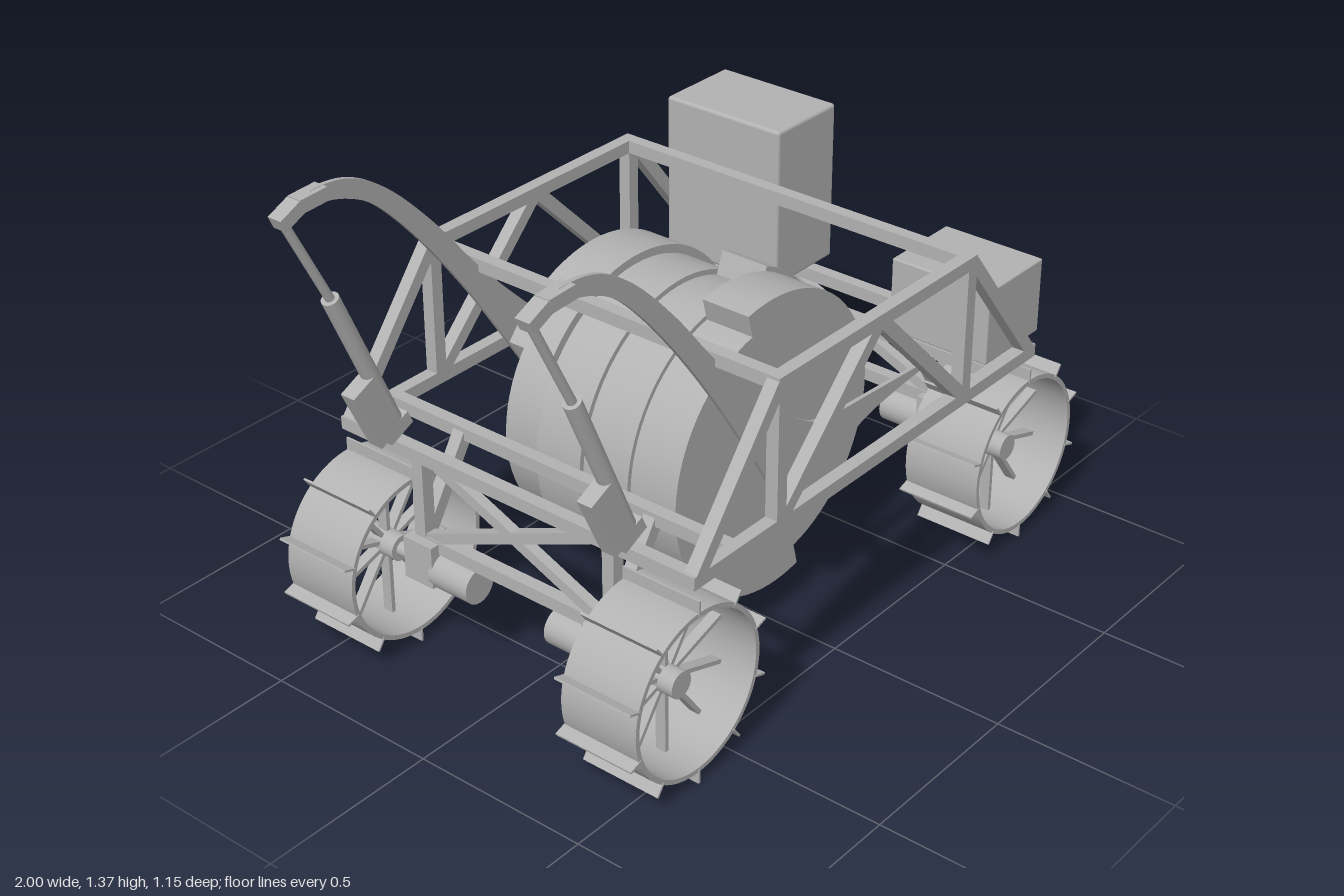
import * as THREE from 'three';
import { toCreasedNormals } from 'three/addons/utils/BufferGeometryUtils.js';
import { RoundedBoxGeometry } from 'three/addons/geometries/RoundedBoxGeometry.js';

const grey = new THREE.MeshStandardMaterial({ color: 0xb2b2b2 });
const V = (x, y, z) => new THREE.Vector3(x, y, z);

function add(parent, name, geometry, x = 0, y = 0, z = 0) {
  const mesh = new THREE.Mesh(geometry, grey);
  mesh.name = name;
  mesh.position.set(x, y, z);
  parent.add(mesh);
  return mesh;
}

// Rectangular bar between two points; in the xy plane, h is its size along z
function bar(parent, name, a, b, w = 0.036, h = w) {
  const mesh = add(parent, name, new THREE.BoxGeometry(w, h, a.distanceTo(b)));
  const up = Math.abs(b.z - a.z) < 0.01 ? V(0, 0, 1) : V(1, 0, 0);
  mesh.position.copy(a).lerp(b, 0.5);
  mesh.quaternion.setFromRotationMatrix(new THREE.Matrix4().lookAt(b, a, up));
}

// Round rod between two points
function rod(parent, name, a, b, r) {
  const mesh = add(parent, name, new THREE.CylinderGeometry(r, r, a.distanceTo(b), 24));
  mesh.position.copy(a).lerp(b, 0.5);
  mesh.quaternion.setFromUnitVectors(V(0, 1, 0), b.clone().sub(a).normalize());
}

// Plate in the xy plane, centred on its thickness
function plate(shape, depth, segments = 24) {
  const g = new THREE.ExtrudeGeometry(shape, { depth, bevelEnabled: false, curveSegments: segments });
  g.translate(0, 0, -depth / 2);
  return toCreasedNormals(g, 0.5);
}

function ring(outer, inner) {
  const s = new THREE.Shape();
  s.absarc(0, 0, outer, 0, Math.PI * 2, false);
  const hole = new THREE.Path();
  hole.absarc(0, 0, inner, 0, Math.PI * 2, true);
  s.holes.push(hole);
  return s;
}

const END_X = [-0.648, 0.745];
const AXLE_Y = 0.264;

function wheel(x, side) {
  const g = new THREE.Group();
  g.name = 'wheel';
  g.position.set(x, AXLE_Y, side * 0.461);
  add(g, 'rim', plate(ring(0.23, 0.217), 0.228, 40));
  rod(g, 'hub', V(0, 0, -0.06), V(0, 0, 0.06), 0.036);
  for (let i = 0; i < 10; i++) {
    const a = Math.PI / 2 + (i * Math.PI) / 5;
    const at = (r) => V(Math.cos(a) * r, Math.sin(a) * r, 0);
    bar(g, 'spoke', at(0.03), at(0.222), 0.012, 0.03);
    const cleat = add(g, 'cleat', new THREE.BoxGeometry(0.04, 0.006, 0.232));
    cleat.position.copy(at(0.243));
    cleat.rotation.z = a;
  }
  return g;
}

// Digging drum: two spiral lobes, each ending in a scoop step
function drum(stepDegrees) {
  const s = new THREE.Shape();
  for (let lobe = 0; lobe < 2; lobe++) {
    for (let i = 0; i <= 36; i++) {
      const a = THREE.MathUtils.degToRad(stepDegrees) + Math.PI * (lobe + i / 36);
      const r = 0.362 + 0.065 * (i / 36);
      if (lobe + i === 0) s.moveTo(Math.cos(a) * r, Math.sin(a) * r);
      else s.lineTo(Math.cos(a) * r, Math.sin(a) * r);
    }
  }
  return plate(s, 0.143);
}

// Curved lifting lever carrying the drum axle
function leverShape() {
  const s = new THREE.Shape();
  s.moveTo(0.57, 0.575);
  s.splineThru([[0.3, 0.59], [0.1, 0.605], [0, 0.64], [-0.14, 0.75], [-0.34, 0.95], [-0.5, 1.14],
    [-0.64, 1.28], [-0.76, 1.355], [-0.88, 1.372], [-0.965, 1.345]].map((p) => new THREE.Vector2(...p)));
  s.lineTo(-0.95, 1.308);
  s.splineThru([[-0.88, 1.33], [-0.78, 1.31], [-0.68, 1.25], [-0.54, 1.1], [-0.38, 0.89], [-0.2, 0.62],
    [-0.1, 0.475], [0, 0.43], [0.12, 0.45], [0.24, 0.52], [0.4, 0.55], [0.57, 0.565]].map((p) => new THREE.Vector2(...p)));
  return s;
}

// Lever, its cap and the linear actuator that pulls it
function liftArm(side) {
  const g = new THREE.Group();
  g.name = 'liftArm';
  g.position.z = side * 0.378;
  add(g, 'lever', plate(leverShape(), 0.012));
  const top = V(-0.975, 1.32, 0), mid = V(-0.85, 1.075, 0), foot = V(-0.66, 0.64, 0);
  bar(g, 'leverCap', V(-0.992, 1.322, 0), V(-0.93, 1.35, 0), 0.036, 0.042);
  bar(g, 'leverCap', V(-0.935, 1.35, 0), V(-0.85, 1.354, 0), 0.036, 0.042);
  rod(g, 'actuatorRod', top, mid, 0.012);
  rod(g, 'actuatorTube', mid, foot, 0.023);
  bar(g, 'actuatorMotor', V(-0.782, 0.81, 0), V(-0.70, 0.635, 0), 0.08, 0.045);
  bar(g, 'actuatorBracket', V(-0.71, 0.63, 0), V(-0.635, 0.665, 0), 0.04, 0.045);
  return g;
}

// One side truss of the frame
function sideTruss(side) {
  const g = new THREE.Group();
  g.name = 'sideTruss';
  g.position.z = side * 0.556;
  const lo = 0.58, hi = 0.967;
  const members = [
    [-0.666, lo, 0.763, lo], [-0.357, hi, 0.453, hi],
    [-0.339, lo, -0.339, hi], [0.435, lo, 0.435, hi],
    [-0.648, lo, -0.345, hi], [0.745, lo, 0.441, hi],
    [-0.339, lo, 0.048, hi], [0.435, lo, 0.048, hi],
  ];
  for (const [x1, y1, x2, y2] of members) bar(g, 'trussBar', V(x1, y1, 0), V(x2, y2, 0));
  return g;
}

// Hanging truss, gearboxes and motors between a pair of wheels
function axleTruss(x, inward) {
  const g = new THREE.Group();
  g.name = 'axleTruss';
  g.position.x = x;
  bar(g, 'upperBeam', V(0, 0.58, -0.555), V(0, 0.58, 0.555));
  bar(g, 'lowerBeam', V(0, 0.334, -0.33), V(0, 0.334, 0.33));
  const rear = inward * 0.152;
  bar(g, 'innerBeam', V(rear, 0.58, -0.555), V(rear, 0.58, 0.555));
  for (const s of [-1, 1]) {
    bar(g, 'post', V(0, 0.33, s * 0.312), V(0, 0.58, s * 0.312));
    bar(g, 'crossBrace', V(0, 0.345, s * 0.29), V(0, 0.57, -s * 0.25), 0.03);
    bar(g, 'diagonalStrut', V(0, 0.34, s * 0.312), V(rear, 0.58, s * 0.312));
    add(g, 'gearbox', new THREE.BoxGeometry(0.09, 0.12, 0.096), 0, 0.286, s * 0.298);
    rod(g, 'motor', V(0, AXLE_Y, s * 0.13), V(0, AXLE_Y, s * 0.26), 0.05);
    rod(g, 'wheelShaft', V(0, AXLE_Y, s * 0.3), V(0, AXLE_Y, s * 0.42), 0.02);
  }
  return g;
}

export function createModel() {
  const model = new THREE.Group();
  model.name = 'excavatorRover';

  // Frame
  for (const s of [-1, 1]) model.add(sideTruss(s), liftArm(s));
  for (const x of [-0.339, 0.435]) bar(model, 'topCrossBar', V(x, 0.967, -0.555), V(x, 0.967, 0.555));

  // Running gear
  END_X.forEach((x, i) => {
    model.add(axleTruss(x, i ? -1 : 1));
    for (const s of [-1, 1]) model.add(wheel(x, s));
  });

  // Drums, front to back, with their axle
  const drums = new THREE.Group();
  drums.name = 'drums';
  drums.position.set(0.005, 0.53, 0);
  [105, 70, 30, 145].forEach((step, i) => add(drums, 'drum', drum(step), 0, 0, 0.2145 - i * 0.143));
  rod(drums, 'axle', V(0, 0, -0.37), V(0, 0, 0.37), 0.02);
  for (const s of [-1, 1]) {
    rod(drums, 'axleCollar', V(0, 0, s * 0.285), V(0, 0, s * 0.31), 0.032);
    rod(drums, 'axleBearing', V(0, 0, s * 0.335), V(0, 0, s * 0.372), 0.05);
  }
  model.add(drums);

  // Equipment boxes
  add(model, 'tallBox', new RoundedBoxGeometry(0.255, 0.465, 0.387, 3, 0.01), 0.706, 0.831, -0.344);
  add(model, 'lowBox', new RoundedBoxGeometry(0.25, 0.216, 0.307, 3, 0.005), 0.703, 0.706, 0.385);
  return model;
}
